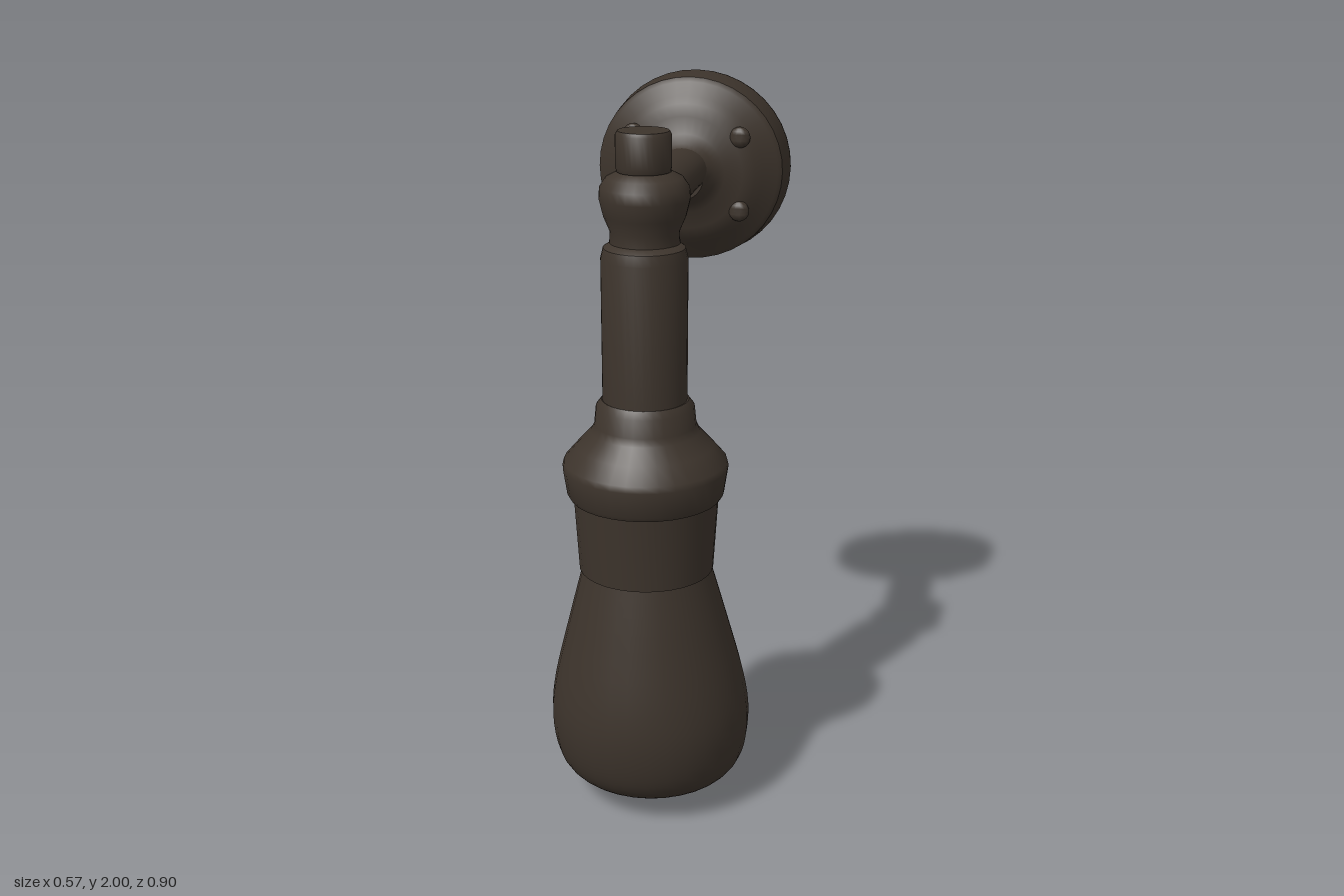
import * as THREE from 'three';
import { toCreasedNormals } from 'three/addons/utils/BufferGeometryUtils.js';

const AXIS_Z = 0.23;   // vertical axis of the lamp
const ARM_Y = 1.745;   // height of the wall arm

export function createModel() {
  const model = new THREE.Group();
  model.name = 'wallLamp';
  const bronze = new THREE.MeshStandardMaterial({ color: 0x3d342c });
  bronze.name = 'dark bronze';

  // Turned part from [radius, height] pairs, listed bottom to top
  const turned = (profile, segments = 32) =>
    new THREE.LatheGeometry(profile.map(([r, y]) => new THREE.Vector2(r, y)), segments);

  const add = (name, geometry, x = 0, y = 0, z = 0) => {
    const mesh = new THREE.Mesh(toCreasedNormals(geometry, 0.6), bronze);
    mesh.name = name;
    mesh.position.set(x, y, z);
    model.add(mesh);
    return mesh;
  };

  // Pear-shaped bulb with a pointed tip, leaning slightly backwards
  const outline = new THREE.SplineCurve([
    [0.03, 0.045], [0.16, 0.053], [0.23, 0.08], [0.27, 0.14], [0.284, 0.25],
    [0.27, 0.37], [0.225, 0.55], [0.18, 0.72], [0.17, 0.76],
  ].map(([r, y]) => new THREE.Vector2(r, y))).getPoints(32).map((p) => [p.x, p.y]);
  const bulb = turned([[0, 0], [0.012, 0.018], [0.022, 0.035], ...outline, [0, 0.76]]);
  const pos = bulb.attributes.position;
  for (let i = 0; i < pos.count; i++) {
    pos.setZ(i, pos.getZ(i) + 0.153 + 0.08 * pos.getY(i));
  }
  add('bulb', bulb);

  // Socket and flared collar
  add('socket', turned([[0, 0.725], [0.186, 0.725], [0.2, 0.95], [0, 0.95]]), 0, 0, 0.22);
  add('collar', turned([
    [0, 0.94], [0.208, 0.94], [0.215, 0.952], [0.226, 1.025], [0.222, 1.042],
    [0.185, 1.085], [0.148, 1.125], [0.138, 1.145], [0.133, 1.195],
    [0.118, 1.215], [0, 1.215],
  ]), 0, 0, 0.226);

  // Stem, joint and top knob
  add('stem', turned([
    [0, 1.19], [0.114, 1.19], [0.115, 1.6], [0.108, 1.628], [0.09, 1.64], [0, 1.64],
  ]), 0, 0, AXIS_Z);
  add('joint', turned([
    [0, 1.63], [0.093, 1.63], [0.091, 1.67], [0.108, 1.71], [0.119, 1.755],
    [0.117, 1.785], [0.1, 1.81], [0.07, 1.825], [0.066, 1.84], [0, 1.84],
  ]), 0, 0, 0.225);
  add('knob', turned([
    [0, 1.826], [0.069, 1.826], [0.073, 1.838], [0.073, 1.92], [0.067, 1.93], [0, 1.931],
  ]), 0, 0, 0.235);

  // Arm running back to the wall, a little wider than it is tall
  const arm = turned([
    [0, 0], [0.066, 0], [0.065, 0.12], [0.068, 0.24], [0.07, 0.34], [0.07, 0.48], [0, 0.48],
  ]);
  arm.rotateX(Math.PI / 2);
  arm.scale(1.1, 0.95, 1);
  add('arm', arm, 0, ARM_Y, -0.28);

  // Round wall plate with a concave flare towards the arm
  const plate = turned([
    [0, 0], [0.278, 0], [0.28, 0.015], [0.27, 0.105], [0.258, 0.117],
    [0.218, 0.135], [0.2, 0.155], [0.165, 0.168], [0.115, 0.178], [0.09, 0.195],
    [0.075, 0.22], [0.067, 0.245], [0, 0.245],
  ], 40);
  plate.rotateX(Math.PI / 2);
  plate.scale(1, 0.97, 1);
  add('wallPlate', plate, 0, 1.73, -0.445);

  // Low rounded screw heads on the plate
  for (const sx of [-1, 1]) {
    for (const sy of [-1, 1]) {
      const screw = new THREE.SphereGeometry(0.03, 14, 10);
      screw.scale(1, 1, 0.6);
      add('plateScrew', screw, sx * 0.155, 1.73 + sy * 0.105, -0.285);
    }
  }

  return model;
}
